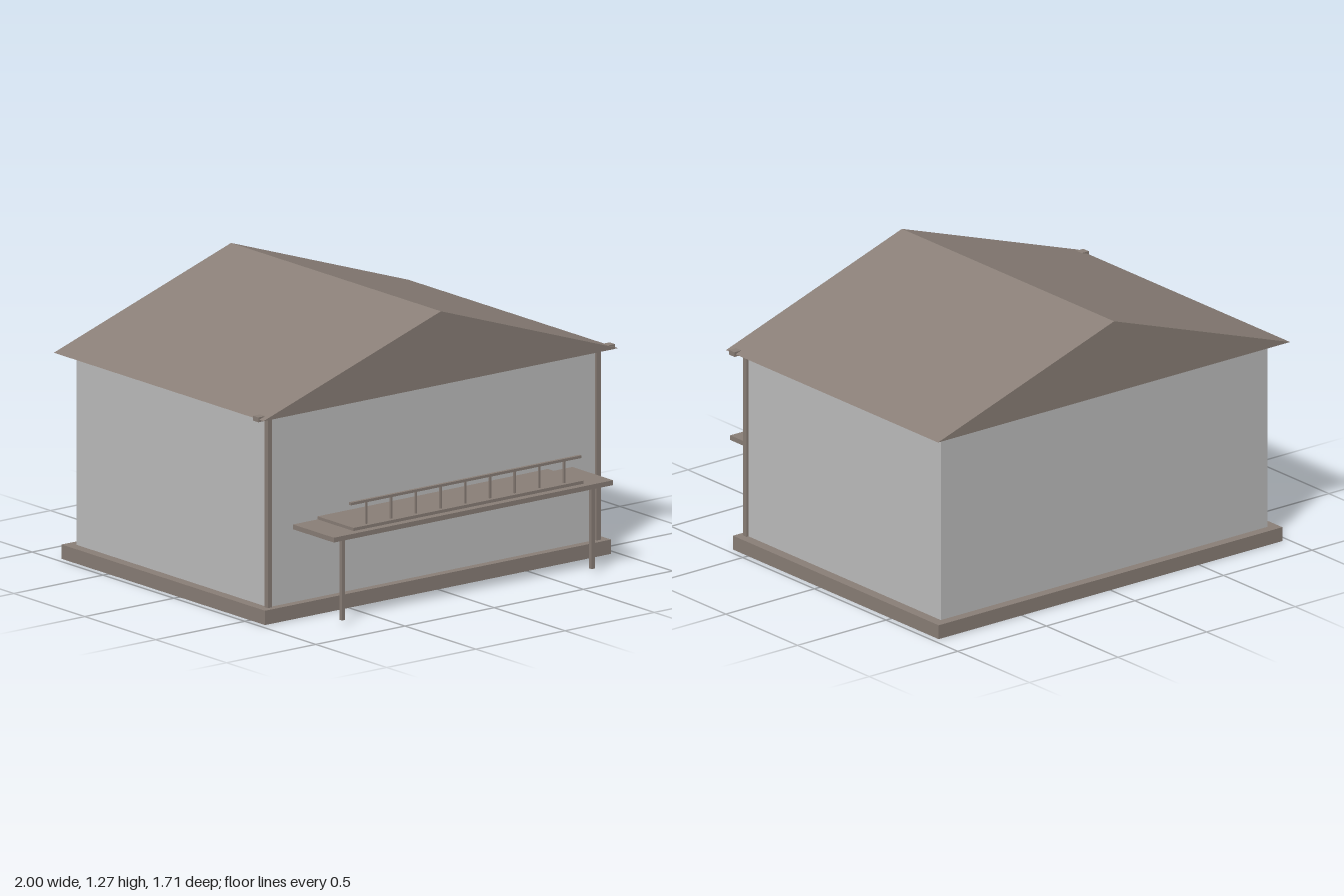
import * as THREE from 'three';

export function createModel() {
  const model = new THREE.Group();
  model.name = 'house';
  const timber = new THREE.MeshStandardMaterial({ color: 0x8b8078 });
  timber.name = 'taupe timber';
  const plaster = new THREE.MeshStandardMaterial({ color: 0xc0c0c0 });
  plaster.name = 'grey plaster';

  // Box given by its minimum and maximum on each axis
  function box(name, material, [x0, x1], [y0, y1], [z0, z1], parent = model) {
    const mesh = new THREE.Mesh(new THREE.BoxGeometry(x1 - x0, y1 - y0, z1 - z0), material);
    mesh.position.set((x0 + x1) / 2, (y0 + y1) / 2, (z0 + z1) / 2);
    mesh.name = name;
    parent.add(mesh);
    return mesh;
  }
  const around = (c, size) => [c - size / 2, c + size / 2];

  // House body
  box('foundation', timber, [-0.97, 0.97], [0, 0.065], [-0.83, 0.605]);
  box('walls', plaster, [-0.922, 0.922], [0.065, 0.936], [-0.785, 0.567]);

  // Gable roof, a closed prism
  const gable = new THREE.Shape();
  gable.moveTo(-0.994, 0.935);
  gable.lineTo(0.994, 0.935);
  gable.lineTo(0, 1.268);
  gable.closePath();
  const roof = new THREE.Mesh(
    new THREE.ExtrudeGeometry(gable, { depth: 1.48, bevelEnabled: false }), timber);
  roof.position.z = -0.855;
  roof.name = 'roof';
  model.add(roof);

  // Front beam under the eaves and its corner posts
  box('eavesBeam', timber, [-1, 1], [0.924, 0.946], [0.557, 0.595]);
  for (const side of [-1, 1]) {
    box(side > 0 ? 'leftPost' : 'rightPost', timber,
      around(side * 0.922, 0.024), [0.065, 0.935], around(0.567, 0.024));
  }

  // Balcony on two legs
  const balcony = new THREE.Group();
  balcony.name = 'balcony';
  model.add(balcony);
  box('balconySlab', timber, [-0.783, 0.783], [0.396, 0.418], [0.56, 0.855], balcony);
  box('balconyFloor', timber, [-0.645, 0.645], [0.418, 0.432], [0.56, 0.82], balcony);
  for (const side of [-1, 1]) {
    box(side > 0 ? 'leftLeg' : 'rightLeg', timber,
      around(side * 0.7, 0.018), [0.022, 0.396], around(0.81, 0.018), balcony);
  }

  // Railing with evenly spaced balusters
  box('handrail', timber, [-0.645, 0.645], [0.531, 0.543], around(0.796, 0.015), balcony);
  for (let i = -4; i <= 4; i++) {
    box('baluster', timber, around(i * 0.1385, 0.009), [0.43, 0.532], around(0.796, 0.008), balcony);
  }
  return model;
}
